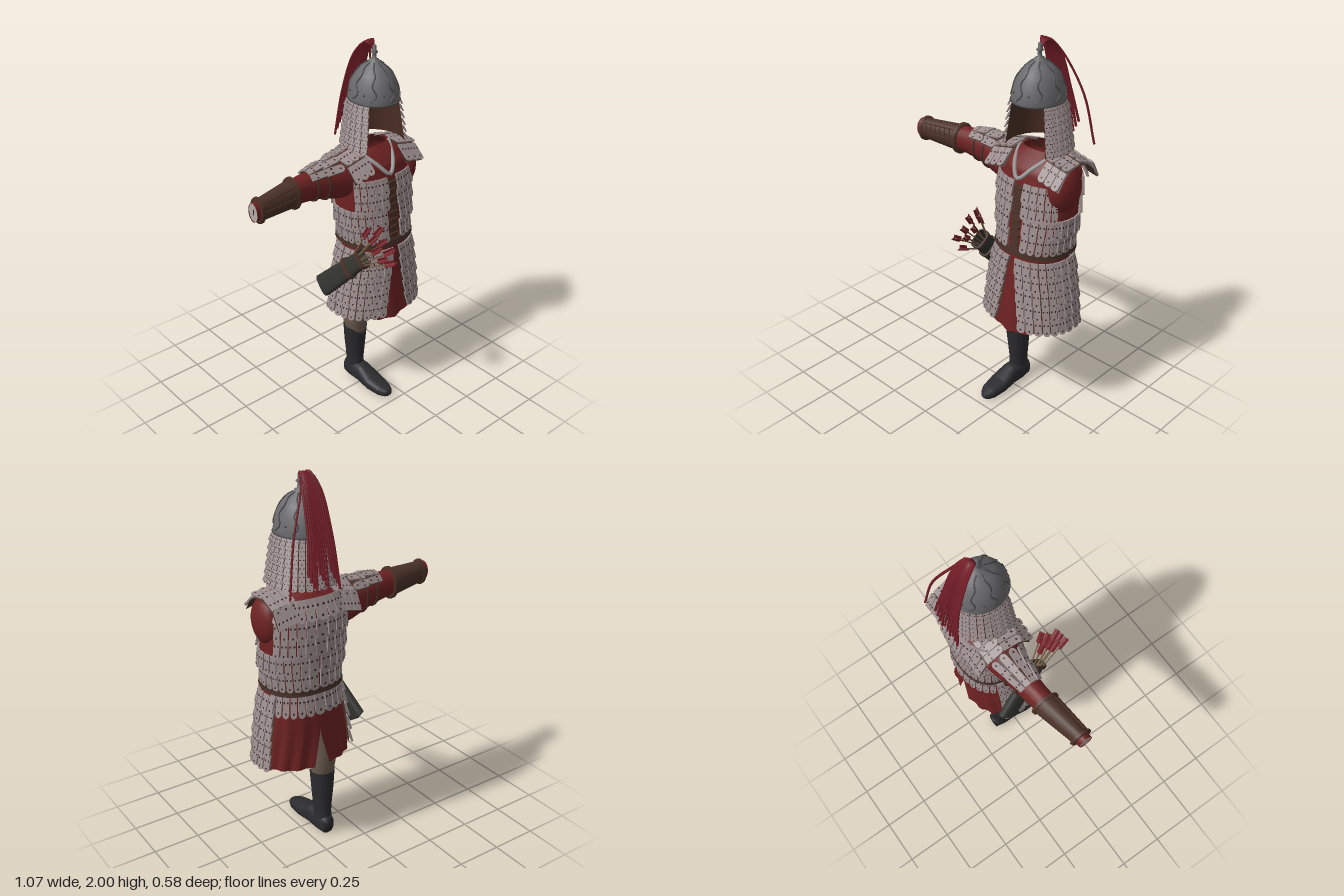
import * as THREE from 'three';
import { mergeGeometries } from 'three/addons/utils/BufferGeometryUtils.js';
import { ParametricGeometry } from 'three/addons/geometries/ParametricGeometry.js';

const D = Math.PI / 180, { lerp } = THREE.MathUtils;
const V = (x, y, z) => new THREE.Vector3(x, y, z);
const mat = (color) => new THREE.MeshStandardMaterial({ color, side: THREE.DoubleSide });
const M = {
  red: mat(0x6e2222), brown: mat(0x4a3229), lining: mat(0x4f3126), plate: mat(0x9a8c8c), rivet: mat(0x3a2020),
  steel: mat(0x6a6a6c), dark: mat(0x4c4c4e), boot: mat(0x2c2c2f), trousers: mat(0x6e5d50), quiver: mat(0x33332f),
  plume: mat(0x7a1f2a), trim: mat(0x9a9896), cuff: mat(0xb0aca8), shaft: mat(0x7a6045),
};

function add(parent, name, geometry, material) {
  const mesh = new THREE.Mesh(geometry, material);
  mesh.name = name;
  parent.add(mesh);
  return mesh;
}

// Oval column through rows of [height, centre x, centre z, radius x, radius z]; angle 0 faces +z, 90 faces +x
function column(rows, p = 1) {
  const pw = (s) => Math.sign(s) * Math.abs(s) ** p;
  return (deg, y, off = 0) => {
    let i = 0;
    while (i < rows.length - 2 && y > rows[i + 1][0]) i++;
    const t = THREE.MathUtils.clamp((y - rows[i][0]) / (rows[i + 1][0] - rows[i][0]), 0, 1);
    const [cx, cz, rx, rz] = [1, 2, 3, 4].map((k) => lerp(rows[i][k], rows[i + 1][k], t));
    return V(cx + (rx + off) * pw(Math.sin(deg * D)), y, cz + (rz + off) * pw(Math.cos(deg * D)));
  };
}
const patch = (col, a0, a1, y0, y1, off = 0) => (u, v) => col(lerp(a0, a1, u), lerp(y0, y1, v), off);
const sheet = (f, nu, nv) => new ParametricGeometry((u, v, target) => target.copy(f(u, v)), nu, nv);
const cord = (pts, r, seg = 16, sides = 5) =>
  new THREE.TubeGeometry(new THREE.CatmullRomCurve3(pts), seg, r, sides);

// Raised band round a column
function band(parent, name, col, y0, y1, off, material) {
  const f = (u, v) => col(u * 360, lerp(y0, y1, v), v === 0 || v === 1 ? 0 : off);
  return add(parent, name, sheet(f, 32, 4), material);
}

// One unit armour plate with a rounded lower end, and its rivets
const outline = new THREE.Shape();
outline.moveTo(-0.46, 0.54);
outline.lineTo(-0.46, -0.38);
outline.quadraticCurveTo(-0.42, -0.54, 0, -0.56);
outline.quadraticCurveTo(0.42, -0.54, 0.46, -0.38);
outline.lineTo(0.46, 0.54);
const plateGeo = new THREE.ExtrudeGeometry(outline, { depth: 1, bevelEnabled: false, curveSegments: 3 });
const rivetGeo = mergeGeometries([[-0.26, 0.2], [0.26, 0.2], [0, -0.32]].map(([x, y]) =>
  new THREE.CircleGeometry(1, 6).scale(0.12, 0.065, 1).translate(x, y, 1.1)));

// Overlapping plates laid over a surface f(u, v)
function plates(parent, name, f, cols, rows, thick = 0.009) {
  const body = [], rivets = [];
  for (let r = 0; r < rows; r++) for (let c = 0; c < cols; c++) {
    const u = (c + 0.5) / cols, v = (r + 0.5) / rows, hu = 0.5 / cols, hv = 0.5 / rows;
    const right = f(u + hu, v).sub(f(u - hu, v)), up = f(u, v + hv).sub(f(u, v - hv));
    const n = right.clone().cross(up).normalize();
    up.addScaledVector(n, -0.012);
    const m = new THREE.Matrix4().makeBasis(right, up, n.clone().multiplyScalar(thick));
    m.setPosition(f(u, v).addScaledVector(n, 0.007));
    body.push(plateGeo.clone().applyMatrix4(m));
    rivets.push(rivetGeo.clone().applyMatrix4(m));
  }
  add(parent, name, mergeGeometries(body), M.plate);
  add(parent, name + 'Rivets', mergeGeometries(rivets), M.rivet);
}

function buildTorso(g) {
  const torso = column([[0.86, 0.27, -0.055, 0.195, 0.16], [0.95, 0.27, -0.055, 0.185, 0.155], [1.1, 0.27, -0.065, 0.21, 0.155],
    [1.28, 0.268, -0.08, 0.212, 0.155], [1.36, 0.268, -0.09, 0.215, 0.145], [1.42, 0.265, -0.1, 0.18, 0.105],
    [1.45, 0.262, -0.1, 0.1, 0.07]], 0.85);
  add(g, 'tunic', sheet(patch(torso, 0, 360, 0.86, 1.45), 40, 24), M.red);
  plates(g, 'sidePlates', patch(torso, 8, 352, 0.96, 1.14), 28, 2);
  plates(g, 'leftChestPlates', patch(torso, 5, 62, 1.14, 1.31), 5, 2);
  plates(g, 'rightChestPlates', patch(torso, -62, -5, 1.14, 1.31), 5, 2);
  plates(g, 'backPlates', patch(torso, 112, 248, 1.14, 1.42), 11, 3);
  plates(g, 'lowerBackPlates', patch(torso, 100, 260, 0.82, 0.93), 13, 1);
  band(g, 'belt', torso, 0.92, 0.965, 0.024, M.brown);
  // Front fastening with ties
  add(g, 'fastening', sheet((u, v) => torso(lerp(-5, 5, u), lerp(0.96, 1.3, v), 0.008), 2, 8), M.brown);
  for (let i = 0; i < 8; i++)
    add(g, 'tie', new THREE.BoxGeometry(0.05, 0.01, 0.012), M.lining).position.copy(torso(0, 0.99 + i * 0.042, 0.01));
  add(g, 'collar', cord([[0.15, 1.445, -0.06], [0.2, 1.385, 0.035], [0.257, 1.33, 0.078], [0.315, 1.385, 0.035], [0.37, 1.445, -0.06]]
    .map((p) => V(...p)), 0.011, 24, 6), M.trim);
  // Shoulder straps running from chest over to back
  const arc = new THREE.CatmullRomCurve3([V(0, 1.355, 0.06), V(0, 1.425, 0), V(0, 1.445, -0.09), V(0, 1.415, -0.18), V(0, 1.34, -0.235)]);
  for (const [name, x0, x1] of [['leftStrap', 0.375, 0.5], ['rightStrap', 0.035, 0.16]]) {
    const f = (u, v) => {
      const p = arc.getPoint(v), x = lerp(x0, x1, u);
      return V(x, p.y - (Math.abs(x - 0.268) - 0.1) * 0.22, p.z);
    };
    add(g, name + 'Backing', sheet(f, 4, 12), M.brown);
    plates(g, name + 'Plates', f, 3, 4);
  }
  // Empty left armhole, rounded off in cloth
  const stump = add(g, 'leftShoulder', new THREE.SphereGeometry(1, 16, 12), M.red);
  stump.position.set(0.445, 1.295, -0.05);
  stump.scale.set(0.072, 0.125, 0.105);
}

function buildSkirt(g) {
  const skirt = column([[0.46, 0.262, -0.05, 0.25, 0.185], [0.7, 0.265, -0.052, 0.225, 0.168], [0.93, 0.27, -0.055, 0.185, 0.155]], 0.88);
  const slit = (y) => 180 - Math.max(0, (0.7 - y) * 45);
  for (const s of [-1, 1]) {
    const side = s > 0 ? 'left' : 'right';
    add(g, side + 'SkirtCloth', sheet((u, v) => {
      const hem = lerp(0.47, 0.52, Math.min(1, u * 3)), y = lerp(hem, 0.92, v);
      return skirt(s * slit(y) * u, y, 0.006 * Math.cos(u * 50) * (1 - v));
    }, 30, 10), M.red);
    // Armoured flap, its front edge drawn back toward the hem
    const flap = (u, v) => {
      const w = s > 0 ? u : 1 - u;
      return skirt(s * lerp(lerp(14, 3, v), 113, w), lerp(0.52, 0.91, v), 0.014);
    };
    add(g, side + 'FlapBacking', sheet(flap, 16, 6), M.lining);
    plates(g, side + 'FlapPlates', flap, 9, 5);
  }
}

function buildArm(g) {
  // Drawn upright, then laid out along -x
  const arm = new THREE.Group();
  arm.name = 'rightArm';
  arm.rotation.z = 90 * D;
  g.add(arm);
  const form = column([[-0.12, 1.3, -0.09, 0.1, 0.1], [-0.03, 1.31, -0.09, 0.105, 0.09], [0.1, 1.33, -0.085, 0.082, 0.068],
    [0.2, 1.337, -0.077, 0.073, 0.058], [0.28, 1.337, -0.068, 0.066, 0.056], [0.5, 1.338, -0.032, 0.05, 0.038], [0.53, 1.338, -0.028, 0.05, 0.036]]);
  add(arm, 'sleeve', sheet(patch(form, 0, 360, -0.12, 0.53), 20, 16), M.red);
  add(arm, 'bracer', sheet(patch(form, 0, 360, 0.265, 0.5, 0.007), 20, 6), M.brown);
  for (const t of [0.255, 0.485]) band(arm, 'bracerBand', form, t, t + 0.022, 0.018, M.lining);
  add(arm, 'cuffEnd', sheet((u, v) => form(u * 360, 0.525, -0.032 * v), 20, 2), M.cuff);
  for (const a of [-22, 22]) add(arm, 'laceEdge', cord([0.28, 0.38, 0.48].map((t) => form(a + 25, t, 0.009)), 0.004), M.lining);
  for (let i = 0; i < 6; i++)
    add(arm, 'lace', cord([form(3, 0.29 + i * 0.032, 0.009), form(25, 0.3 + i * 0.032, 0.011), form(47, 0.31 + i * 0.032, 0.009)], 0.003, 6), M.lining);
  add(arm, 'upperArmBacking', sheet(patch(form, 35, 145, -0.02, 0.165, 0.006), 8, 4), M.brown);
  plates(arm, 'upperArmPlates', patch(form, 35, 145, -0.02, 0.165, 0.006), 4, 2);
  for (const t of [0.06, 0.13]) band(arm, 'armStrap', form, t, t + 0.012, 0.008, M.brown);
}

function buildLeg(g) {
  const leg = column([[0.34, 0.153, -0.067, 0.052, 0.058], [0.42, 0.15, -0.07, 0.068, 0.072], [0.52, 0.15, -0.075, 0.072, 0.08], [0.85, 0.17, -0.07, 0.09, 0.1]]);
  add(g, 'trouserLeg', sheet(patch(leg, 0, 360, 0.34, 0.85), 18, 10), M.trousers);
  const shaft = column([[0.06, 0.156, -0.075, 0.047, 0.056], [0.14, 0.156, -0.072, 0.045, 0.055], [0.26, 0.153, -0.07, 0.058, 0.062], [0.375, 0.15, -0.065, 0.067, 0.068]]);
  // Top edge dips to a notch at the front
  add(g, 'bootShaft', sheet((u, v) => {
    const dip = 0.045 * Math.max(0, Math.cos(u * 2 * Math.PI)) ** 4;
    return shaft(u * 360, lerp(0.06, 0.375 - dip, v));
  }, 24, 10), M.boot);
  const foot = column([[-0.137, 0.157, -0.05, 0.001, 0.001], [-0.135, 0.157, -0.05, 0.036, 0.05], [-0.07, 0.157, -0.057, 0.05, 0.057],
    [0, 0.157, -0.057, 0.049, 0.057], [0.09, 0.157, -0.038, 0.058, 0.038], [0.17, 0.16, -0.03, 0.048, 0.03], [0.21, 0.163, -0.026, 0.027, 0.021], [0.222, 0.165, -0.026, 0.001, 0.001]], 0.75);
  add(g, 'bootFoot', sheet(patch(foot, 0, 360, -0.137, 0.222), 20, 40), M.boot).rotation.x = 90 * D;
}

function buildHelmet(g) {
  const profile = [[0.133, 0], [0.133, 0.018], [0.128, 0.05], [0.114, 0.095], [0.092, 0.135], [0.062, 0.167], [0.03, 0.186], [0.026, 0.197],
    [0.012, 0.203], [0.01, 0.225], [0.019, 0.235], [0.01, 0.246], [0.009, 0.268], [0, 0.274]].map((p) => new THREE.Vector2(...p));
  const helmet = new THREE.Group();
  helmet.name = 'helmet';
  helmet.position.set(0.26, 1.705, -0.06);
  helmet.scale.set(0.93, 1, 1.04);
  g.add(helmet);
  add(helmet, 'dome', new THREE.LatheGeometry(profile, 32), M.steel);
  add(helmet, 'rim', new THREE.TorusGeometry(0.133, 0.006, 6, 32).rotateX(90 * D), M.dark);
  for (let i = 0; i < 8; i++) {
    const a = i * 45 * D;
    const at = (p, da) => V(p.x * 1.01 * Math.sin(a + da), p.y, p.x * 1.01 * Math.cos(a + da));
    add(helmet, 'rib', cord(profile.slice(1, 7).map((p, k) => at(p, (k % 2 ? 0.12 : -0.12) * (1 - k / 6))), 0.004), M.dark);
    add(helmet, 'rivet', new THREE.SphereGeometry(0.006, 6, 4), M.dark).position.copy(at(profile[2], 0.39));
  }
  // Neck guard, open at the face
  const guard = column([[1.46, 0.265, -0.06, 0.157, 0.163], [1.71, 0.26, -0.06, 0.118, 0.132]]);
  add(g, 'neckGuardLining', sheet(patch(guard, 54, 306, 1.46, 1.71), 28, 4), M.lining);
  plates(g, 'neckGuardPlates', patch(guard, 54, 306, 1.465, 1.7), 20, 6, 0.007);
  // Plume strands falling behind
  for (let i = 0; i < 13; i++) {
    const s = (i - 6) / 6, fall = 1.46 + 0.09 * ((i * 5) % 4) / 3, wide = i === 12 ? 0.18 : 0.095;
    const strand = cord([V(0.26, 1.95, -0.07), V(0.26 + s * 0.022, 1.992, -0.09), V(0.262 + s * 0.05, 1.93, -0.15),
      V(0.265 + s * wide * 0.75, 1.72, -0.222), V(0.27 + s * wide, fall, -0.262)], 0.0065, 20, 4);
    add(g, 'plumeStrand', strand, M.plume);
  }
}

function buildQuiver(g) {
  const from = V(-0.025, 0.665, -0.135), to = V(0.042, 0.93, 0.12);
  const q = new THREE.Group();
  q.name = 'quiver';
  q.position.copy(from);
  q.quaternion.setFromUnitVectors(V(0, 1, 0), to.clone().sub(from).normalize());
  g.add(q);
  const L = from.distanceTo(to);
  const tube = column([[-0.012, 0, 0, 0.001, 0.001], [0, 0, 0, 0.026, 0.062], [L * 0.5, 0, 0, 0.026, 0.055], [L, 0, 0, 0.027, 0.045]], 0.6);
  add(q, 'quiverCase', sheet(patch(tube, 0, 360, -0.012, L), 24, 32), M.quiver);
  for (const y of [L * 0.6, L - 0.03]) band(q, 'quiverBand', tube, y, y + 0.03, 0.008, M.brown);
  // Arrows fan out of the mouth
  for (let i = 0; i < 8; i++) {
    const arrow = new THREE.Group();
    arrow.name = 'arrow';
    arrow.position.set((i % 2 - 0.5) * 0.022, L - 0.08, (i - 3.5) * 0.009);
    arrow.rotation.set((i - 3.5) * 0.085, 0, (i % 2 - 0.5) * -0.12);
    const len = 0.25 + 0.03 * ((i * 3) % 4) / 3;
    add(arrow, 'shaft', new THREE.CylinderGeometry(0.0035, 0.0035, len, 5).translate(0, len / 2, 0), M.shaft);
    for (let k = 0; k < 3; k++)
      add(arrow, 'feather', new THREE.BoxGeometry(0.015, 0.07, 0.003).translate(0.009, len - 0.04, 0), M.plume).rotation.y = k * 120 * D;
    q.add(arrow);
  }
}

export function createModel() {
  const g = new THREE.Group();
  g.name = 'armouredFigure';
  [buildTorso, buildSkirt, buildArm, buildLeg, buildHelmet, buildQuiver].forEach((build) => build(g));
  return g;
}
